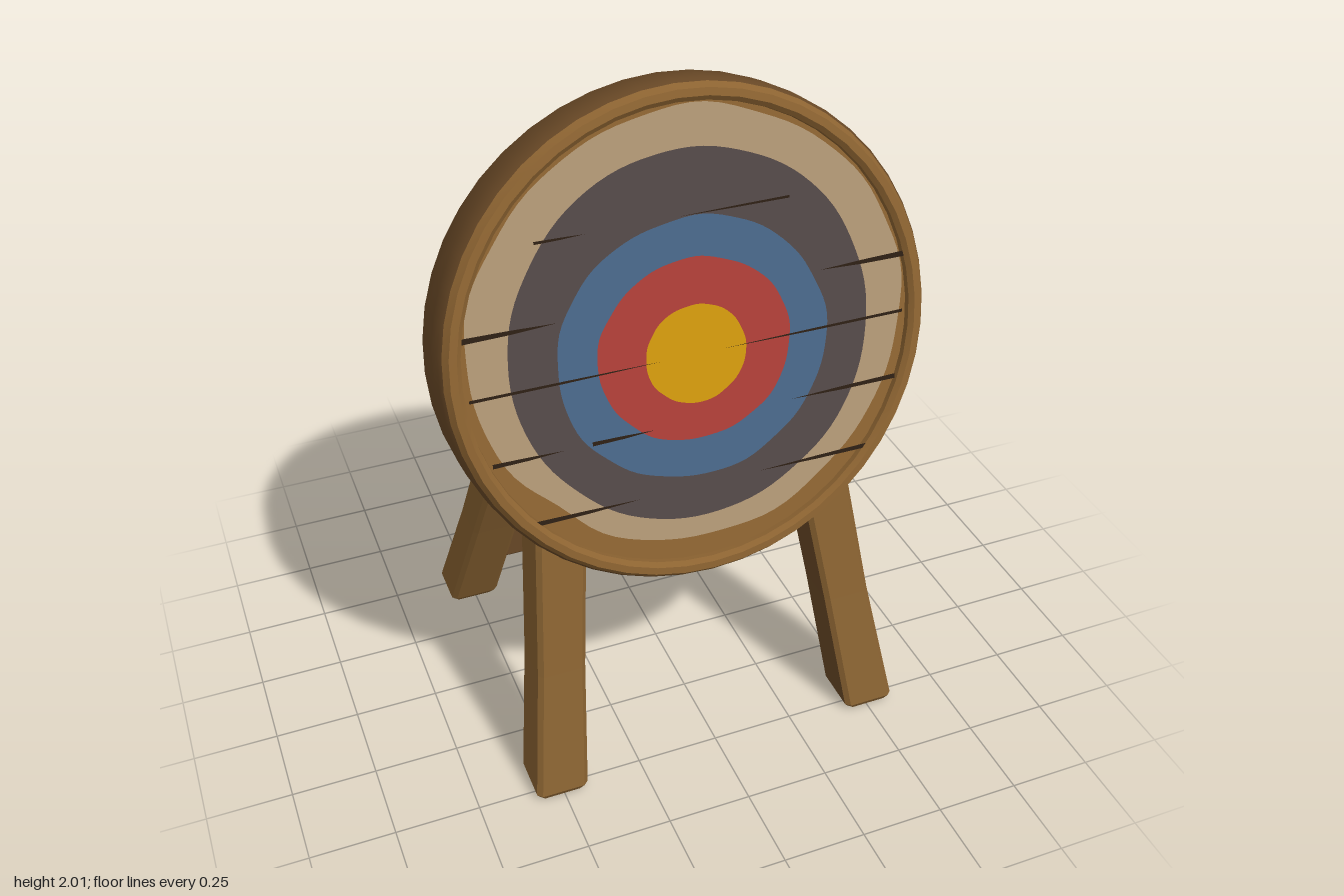
import * as THREE from 'three';
import { toCreasedNormals } from 'three/addons/utils/BufferGeometryUtils.js';

const paint = (name, color) => {
  const m = new THREE.MeshStandardMaterial({ color });
  m.name = name;
  return m;
};

export function createModel() {
  const wood = paint('wood', 0x866030);
  const darkWood = paint('dark wood', 0x684826);
  const edgeWood = paint('worn edge wood', 0x8c6331);
  const gapBrown = paint('gap brown', 0x2c1e13);
  const cream = paint('cream paint', 0xb09674);
  const grey = paint('grey paint', 0x524746);
  const blue = paint('blue paint', 0x476687);
  const red = paint('red paint', 0xad3d37);
  const yellow = paint('yellow paint', 0xd0980c);

  const model = new THREE.Group();
  const add = (parent, name, geometry, material) => {
    const mesh = new THREE.Mesh(geometry, material);
    mesh.name = name;
    parent.add(mesh);
    return mesh;
  };

  // Beam through horizontal sections [x, y, z, width, depth] with cut corners.
  // Sides listed in shaded use the second material (1 = -z, 3 = -x, 5 = +z, 7 = +x).
  const beam = (sections, shaded = []) => {
    const rings = sections.map(([x, y, z, w, d]) => {
      const a = w / 2, b = d / 2, c = 0.014;
      return [[a, -b + c], [a - c, -b], [-a + c, -b], [-a, -b + c],
        [-a, b - c], [-a + c, b], [a - c, b], [a, b - c]]
        .map(([px, pz]) => new THREE.Vector3(x + px, y, z + pz));
    });
    const pts = [];
    const g = new THREE.BufferGeometry();
    for (let i = 0; i < 8; i++) {
      const j = (i + 1) % 8;
      g.addGroup(pts.length, (rings.length - 1) * 6, shaded.includes(i) ? 1 : 0);
      for (let s = 0; s < rings.length - 1; s++) {
        const lo = rings[s], hi = rings[s + 1];
        pts.push(lo[i], lo[j], hi[j], lo[i], hi[j], hi[i]);
      }
    }
    const top = rings[rings.length - 1], bottom = rings[0];
    g.addGroup(pts.length, 36, 0);
    for (let i = 1; i < 7; i++) {
      pts.push(top[0], top[i], top[i + 1], bottom[0], bottom[i + 1], bottom[i]);
    }
    g.setFromPoints(pts);
    g.computeVertexNormals();
    return g;
  };

  // Four splayed legs with darker inner sides; the rear pair bends upright at the top
  for (const side of [1, -1]) {
    const label = side > 0 ? 'left' : 'right';
    const inner = side > 0 ? 3 : 7;
    add(model, label + 'FrontLeg', beam([
      [side * 0.507, 0, 0.47, 0.135, 0.135],
      [side * 0.505, 0.02, 0.467, 0.157, 0.162],
      [side * 0.458, 0.38, 0.36, 0.144, 0.155],
      [side * 0.412, 0.75, 0.255, 0.15, 0.157],
      [side * 0.37, 1.06, 0.165, 0.14, 0.148],
      [side * 0.36, 1.15, 0.125, 0.115, 0.115],
    ], [1, inner]), [wood, darkWood]);
    add(model, label + 'RearLeg', beam([
      [side * 0.507, 0, -0.47, 0.135, 0.135],
      [side * 0.505, 0.02, -0.467, 0.157, 0.162],
      [side * 0.46, 0.42, -0.288, 0.148, 0.15],
      [side * 0.418, 0.72, -0.158, 0.163, 0.158],
      [side * 0.372, 1.12, 0.012, 0.168, 0.15],
      [side * 0.366, 1.23, 0.035, 0.155, 0.118],
      [side * 0.355, 1.34, 0.034, 0.12, 0.092],
      [side * 0.35, 1.47, 0.026, 0.11, 0.082],
    ], [inner]), [wood, darkWood]);
    const hinge = add(model, label + 'Hinge', new THREE.BoxGeometry(0.11, 0.07, 0.08), gapBrown);
    hinge.position.set(side * 0.362, 1.175, 0.085);
  }

  // Stretcher between the rear legs
  const bar = beam([[0, -0.42, 0, 0.14, 0.09], [0.003, 0, 0, 0.147, 0.093], [0, 0.42, 0, 0.14, 0.09]]);
  const stretcher = add(model, 'stretcher', bar, [darkWood]);
  stretcher.rotation.z = Math.PI / 2;
  stretcher.position.set(0, 0.288, -0.345);

  // Tilted target board, built facing +z
  const board = new THREE.Group();
  board.name = 'targetBoard';
  board.position.set(0, 1.303, 0.22);
  board.rotation.x = -0.229;
  model.add(board);

  // Rim: dark outer band with lighter worn edges, deeper at the back towards its sides
  const lathe = (profile) => {
    const g = new THREE.LatheGeometry(profile.map(([r, y]) => new THREE.Vector2(r, y)), 48);
    g.rotateX(Math.PI / 2);
    const p = g.attributes.position;
    for (let i = 0; i < p.count; i++) {
      const z = p.getZ(i), y = p.getY(i) / 0.7;
      if (z < -0.05) p.setZ(i, z - 0.045 * Math.max(0, 1 - y * y));
    }
    return toCreasedNormals(g, 0.5);
  };
  add(board, 'rimBand', lathe([[0.7, -0.086], [0.709, -0.06], [0.711, 0], [0.708, 0.055], [0.7, 0.07]]), darkWood);
  add(board, 'rimFrontEdge', lathe([[0.7, 0.07], [0.686, 0.09], [0.665, 0.092], [0.652, 0.08], [0.648, 0.04]]), edgeWood);
  add(board, 'rimBackFace', lathe([[0.632, -0.03], [0.634, -0.088], [0.645, -0.098], [0.672, -0.101]]), darkWood);
  add(board, 'rimBackEdge', lathe([[0.672, -0.101], [0.688, -0.1], [0.7, -0.086]]), edgeWood);

  // Dark core seen through the gaps, with horizontal planks around it
  const core = new THREE.CylinderGeometry(0.64, 0.64, 0.1, 48);
  core.rotateX(Math.PI / 2);
  core.translate(0, 0, -0.015);
  add(board, 'core', core, gapBrown);
  const seams = [-0.64, -0.425, -0.23, -0.037, 0.13, 0.353, 0.53, 0.645];
  for (let i = 0; i < seams.length - 1; i++) {
    const R = 0.65, y0 = seams[i] + 0.009, y1 = seams[i + 1] - 0.009;
    const a0 = Math.asin(y0 / R), a1 = Math.asin(y1 / R);
    const shape = new THREE.Shape();
    shape.absarc(0, 0, R, a0, a1, false);
    shape.absarc(0, 0, R, Math.PI - a1, Math.PI - a0, false);
    const plank = new THREE.ExtrudeGeometry(shape, { depth: 0.135, bevelEnabled: false, curveSegments: 8 });
    plank.translate(0, 0, -0.082 + (i % 2) * 0.006);
    add(board, 'plank' + (i + 1), plank, darkWood);
  }

  // Hand-painted discs, each slightly uneven; worn away at the lower corners by wear
  const disc = (name, material, rx, ry, cy, z, wobble, wear = 0) => {
    const pts = [];
    for (let i = 0; i < 96; i++) {
      const t = (i / 96) * Math.PI * 2;
      const worn = Math.exp(-(((t - 3.95) / 0.3) ** 2)) + 0.5 * Math.exp(-(((t - 5.5) / 0.25) ** 2));
      const k = 1 - wear * worn
        + wobble * (Math.sin(5 * t + rx * 20) + 0.7 * Math.sin(9 * t + 1) + 0.5 * Math.sin(14 * t));
      pts.push(new THREE.Vector2(Math.cos(t) * rx * k, cy + Math.sin(t) * ry * k));
    }
    const g = new THREE.ShapeGeometry(new THREE.Shape(pts));
    g.translate(0, 0, z);
    add(board, name, g, material);
  };
  disc('bareFace', edgeWood, 0.652, 0.652, 0, 0.063, 0);
  disc('creamRing', cream, 0.634, 0.615, 0.022, 0.066, 0.007, 0.04);
  disc('greyRing', grey, 0.524, 0.527, 0.003, 0.069, 0.003);
  disc('blueRing', blue, 0.395, 0.372, -0.026, 0.072, 0.006);
  disc('redRing', red, 0.282, 0.26, -0.026, 0.075, 0.006);
  disc('bullseye', yellow, 0.147, 0.141, -0.037, 0.078, 0.005);

  // Tapered seams between the front planks: [y, x start, x end, thickness]
  const slits = [
    [0.353, -0.42, -0.28, 0.008], [0.353, -0.02, 0.3, 0.007],
    [0.13, -0.64, -0.38, 0.016], [0.13, 0.38, 0.64, 0.016],
    [-0.037, -0.64, -0.1, 0.009], [-0.037, 0.08, 0.63, 0.009],
    [-0.23, -0.6, -0.4, 0.013], [-0.23, -0.32, -0.14, 0.012], [-0.23, 0.27, 0.6, 0.014],
    [-0.425, -0.5, -0.2, 0.014], [-0.425, 0.16, 0.53, 0.014],
  ];
  slits.forEach(([y, x0, x1, h]) => {
    const out = Math.abs(x0) > Math.abs(x1) ? x0 : x1, inn = out === x0 ? x1 : x0;
    const pts = [[out, y - h / 2], [(out + inn) / 2, y - h / 2.5], [inn, y], [(out + inn) / 2, y + h / 3], [out, y + h / 2]];
    const g = new THREE.ShapeGeometry(new THREE.Shape(pts.map((p) => new THREE.Vector2(...p))));
    g.translate(0, 0, 0.0805);
    add(board, 'plankSeam', g, gapBrown);
  });

  // Batten across the back that carries the rear legs
  const battenGeometry = beam([[0, -0.46, 0, 0.08, 0.09], [0.004, 0, 0, 0.087, 0.095], [0, 0.46, 0, 0.08, 0.09]]);
  const batten = add(board, 'backBatten', battenGeometry, [darkWood]);
  batten.rotation.z = Math.PI / 2;
  batten.position.set(0, 0.21, -0.118);

  return model;
}
